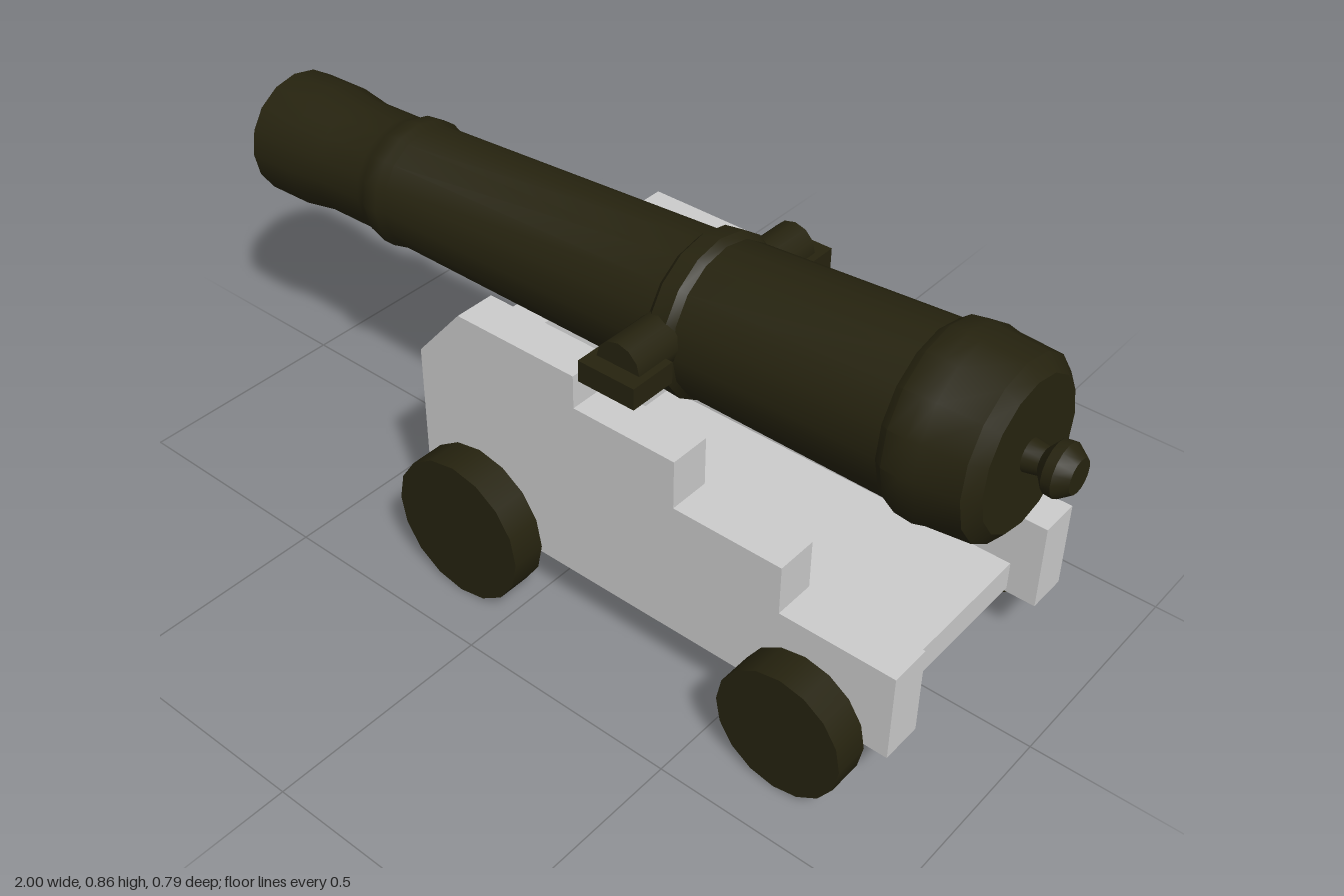
import * as THREE from 'three';
import { toCreasedNormals } from 'three/addons/utils/BufferGeometryUtils.js';

export function createModel() {
  const model = new THREE.Group();
  model.name = 'cannon';
  const iron = new THREE.MeshStandardMaterial({ color: 0x26230f });
  iron.name = 'dark iron';
  const wood = new THREE.MeshStandardMaterial({ color: 0xcccccc });
  wood.name = 'pale carriage';

  const add = (name, geometry, material, x = 0, y = 0, z = 0) => {
    const mesh = new THREE.Mesh(geometry, material);
    mesh.name = name;
    mesh.position.set(x, y, z);
    model.add(mesh);
    return mesh;
  };
  // Box given by its extents along x and y, its width along z and its centre z
  const box = (name, material, x0, x1, y0, y1, width, z = 0) =>
    add(name, new THREE.BoxGeometry(x1 - x0, y1 - y0, width), material, (x0 + x1) / 2, (y0 + y1) / 2, z);

  // Barrel: radius and distance from the muzzle, starting inside the bore
  const profile = [
    [0, 0.35], [0.065, 0.35], [0.065, 0], [0.128, 0], [0.142, 0.015], [0.142, 0.13],
    [0.13, 0.21], [0.131, 0.34], [0.135, 0.36], [0.145, 0.38], [0.145, 0.41], [0.137, 0.43],
    [0.156, 1.165], [0.172, 1.18], [0.175, 1.22], [0.163, 1.235],
    [0.177, 1.7], [0.192, 1.72], [0.196, 1.76], [0.19, 1.785], [0.183, 1.875], [0.153, 1.9],
    [0.033, 1.9], [0.028, 1.93], [0.052, 1.95], [0.054, 1.97], [0.035, 1.996], [0, 1.996],
  ].map(([r, d]) => new THREE.Vector2(r, d));
  const barrel = add('barrel', toCreasedNormals(new THREE.LatheGeometry(profile, 16), 0.6), iron, -0.997, 0.61, 0);
  barrel.rotation.z = -Math.PI / 2 + 0.031;

  // Trunnion shaft through the barrel
  const shaft = new THREE.CylinderGeometry(0.052, 0.052, 0.54, 12);
  shaft.rotateX(Math.PI / 2);
  add('trunnion', shaft, iron, 0.197, 0.669, 0);

  // Stepped cheek outline
  const cheek = new THREE.Shape([
    [-0.3, 0.13], [0.865, 0.13], [0.865, 0.33], [0.61, 0.33], [0.61, 0.44], [0.36, 0.44],
    [0.36, 0.55], [0.115, 0.55], [0.115, 0.625], [-0.185, 0.625], [-0.3, 0.49],
  ].map(([x, y]) => new THREE.Vector2(x, y)));
  const cheekGeometry = new THREE.ExtrudeGeometry(cheek, { depth: 0.093, bevelEnabled: false });
  cheekGeometry.translate(0, 0, -0.0465);

  for (const side of [1, -1]) {
    const label = side > 0 ? 'front' : 'back';
    add(label + 'Cheek', cheekGeometry, wood, 0, 0, side * 0.257);
    box(label + 'TrunnionPlate', iron, 0.13, 0.265, 0.622, 0.67, 0.11, side * 0.25);
    // Large wheel under the muzzle end, small wheel under the breech
    for (const [name, x, r] of [['LargeWheel', -0.13, 0.164], ['SmallWheel', 0.685, 0.14]]) {
      const wheel = new THREE.CylinderGeometry(r, r, 0.077, 16);
      wheel.rotateX(Math.PI / 2);
      add(label + name, wheel, iron, x, r, side * 0.358);
    }
  }

  // Carriage cross members
  box('largeAxle', wood, -0.19, -0.07, 0.1, 0.22, 0.66);
  box('smallAxle', wood, 0.625, 0.75, 0.086, 0.196, 0.66);
  box('bed', wood, -0.25, 0.8, 0.14, 0.205, 0.43);
  box('transom', wood, -0.27, -0.18, 0.14, 0.482, 0.43);

  return model;
}
